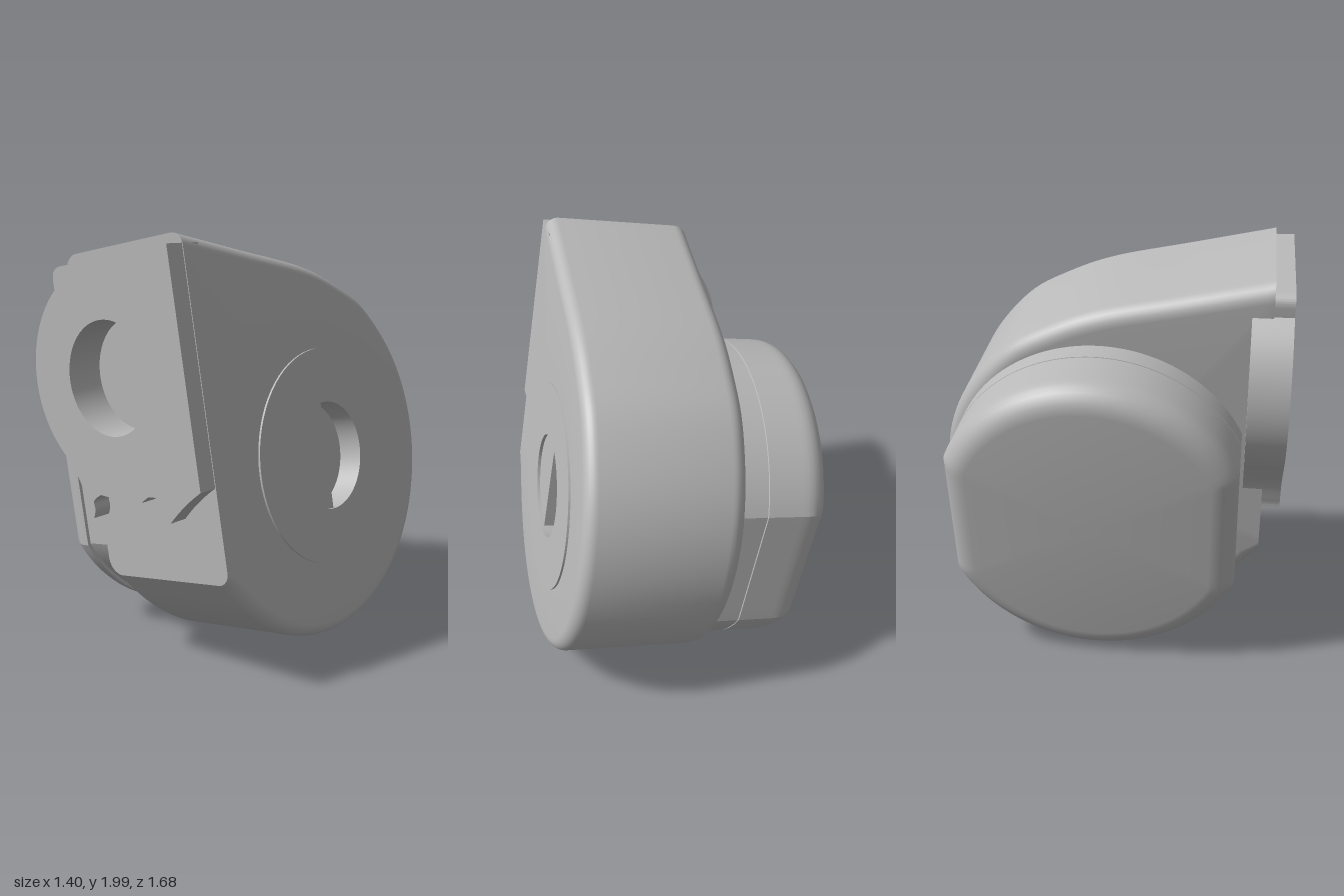
import * as THREE from 'three';
import { toCreasedNormals } from 'three/addons/utils/BufferGeometryUtils.js';

const FRONT = 0.75, CZ = -0.045, CY = 0.837; // body front plane and main axis

// Skin closed rings of points; keep() can leave quads out
function skin(rings, crease, keep = () => true) {
  const n = rings[0].length, index = [];
  for (let i = 0; i < rings.length - 1; i++) {
    for (let j = 0; j < n; j++) {
      const k = (j + 1) % n;
      if (!keep([rings[i][j], rings[i][k], rings[i + 1][j], rings[i + 1][k]])) continue;
      const a = i * n + j, b = i * n + k, c = a + n, d = b + n;
      index.push(a, c, b, b, c, d);
    }
  }
  const geo = new THREE.BufferGeometry().setFromPoints(rings.flat());
  geo.setIndex(index);
  return toCreasedNormals(geo, crease);
}

// Quarter-round steps: [distance from the end face, inset]
function fillet(r, steps = 7) {
  return Array.from({ length: steps + 1 }, (_, i) => {
    const a = (i / steps) * Math.PI / 2;
    return [r * (1 - Math.sin(a)), r * (1 - Math.cos(a))];
  });
}

// Side outline of the body as (z, y), from front top over the back to front bottom
function bodyOutline() {
  const pts = [[0.75, 1.914], [0.35, 1.828], [-0.05, 1.741], [-0.3, 1.645], [-0.5, 1.53]]
    .map(p => new THREE.Vector2(...p));
  for (let a = 145; a <= 315; a += 17) {
    const t = THREE.MathUtils.degToRad(a);
    pts.push(new THREE.Vector2(0.842 * Math.cos(t), 0.84 + 0.84 * Math.sin(t)));
  }
  pts.push(new THREE.Vector2(0.75, 0.425));
  return new THREE.SplineCurve(pts).getSpacedPoints(100);
}

function bodyRing(outline, x, inset) {
  const last = outline.length - 1;
  const ring = outline.map((p, i) => {
    if (i === 0) return new THREE.Vector3(x, p.y - inset, FRONT);
    if (i === last) return new THREE.Vector3(x, p.y + inset, FRONT);
    const t = outline[i + 1].clone().sub(outline[i - 1]).normalize();
    return new THREE.Vector3(x, p.y + t.x * inset, Math.min(FRONT, p.x - t.y * inset));
  });
  for (let i = 0; i <= 14; i++) ring.push(new THREE.Vector3(x, 0.55 + i * 0.088, FRONT));
  return ring;
}

// Shrink a ring onto a circle around the main axis
function toCircle(ring, r) {
  return ring.map(p => {
    const d = new THREE.Vector2(p.z - CZ, p.y - CY).setLength(r);
    return new THREE.Vector3(p.x, CY + d.y, CZ + d.x);
  });
}

// Knob section: a circle with flats front and back, plus a shallow front pocket
function knobRing(x, inset, pocket = 0) {
  const n = 144;
  return Array.from({ length: n }, (_, j) => {
    const a = Math.PI / 2 + (j / n) * Math.PI * 2, t = j / n;
    const y0 = Math.sin(a) * 0.753;
    const d = inset + (t > 0.53 && y0 < 0.08 ? pocket : 0);
    const flat = 0.683 - d, r = Math.max(0.753 - d, 0);
    const z = THREE.MathUtils.clamp(Math.cos(a) * r, -Math.max(flat, 0), Math.max(flat, 0));
    return new THREE.Vector3(x, CY + Math.sin(a) * r, CZ + z);
  });
}

export function createModel() {
  const model = new THREE.Group();
  const housing = new THREE.Group();
  housing.name = 'housing';
  housing.rotation.z = THREE.MathUtils.degToRad(10);
  model.add(housing);

  const grey = new THREE.MeshStandardMaterial({ color: 0xb8b8b8 });
  grey.name = 'light grey';
  const add = (name, geo, x = 0, y = 0, z = 0) => {
    const mesh = new THREE.Mesh(geo, grey);
    mesh.name = name;
    mesh.position.set(x, y, z);
    housing.add(mesh);
    return mesh;
  };

  // Main body with rounded side edges
  const outline = bodyOutline(), left = -0.03, right = 0.716;
  const sections = [
    ...fillet(0.08).reverse().map(([d, s]) => [left + d, s]).reverse().sort((a, b) => a[0] - b[0]),
    ...fillet(0.06).map(([d, s]) => [right - d, s]).sort((a, b) => a[0] - b[0]),
  ];
  const rings = sections.map(([x, s]) => bodyRing(outline, x, s));
  const bodyRings = [toCircle(rings[0], 0.01), ...rings, toCircle(rings.at(-1), 0.505)];
  add('body', skin(bodyRings, 0.5, q => q.some(p => p.z < FRONT - 0.001)));

  // Front face of the body, open where the socket goes in
  const end = outline.length - 1;
  const face = new THREE.Shape([
    ...rings.map(r => new THREE.Vector2(r[end].x, r[end].y)),
    ...rings.map(r => new THREE.Vector2(r[0].x, r[0].y)).reverse(),
  ]);
  const hole = () => new THREE.Path().absarc(0.248, 1.348, 0.257, 0, Math.PI * 2, true);
  face.holes.push(hole());
  add('bodyFront', new THREE.ShapeGeometry(face, 32), 0, 0, FRONT);

  // Front plate with round lug and hooked lower edge
  const plate = new THREE.Shape();
  plate.moveTo(0.712, 1.864);
  plate.lineTo(0.04, 1.864);
  plate.quadraticCurveTo(-0.022, 1.864, -0.024, 1.81);
  plate.lineTo(-0.024, 1.765);
  plate.absarc(0.248, 1.348, 0.498, Math.PI - 0.993, Math.PI + 0.725, false);
  plate.splineThru([[-0.046, 0.892], [-0.017, 0.765], [-0.014, 0.724]].map(p => new THREE.Vector2(...p)));
  plate.lineTo(0.016, 0.719);
  plate.splineThru([[0.032, 0.756], [0.034, 0.8], [0.085, 0.828]].map(p => new THREE.Vector2(...p)));
  plate.lineTo(0.292, 0.791);
  plate.splineThru([[0.345, 0.797], [0.399, 0.823], [0.458, 0.813], [0.489, 0.757], [0.487, 0.716]]
    .map(p => new THREE.Vector2(...p)));
  plate.lineTo(0.512, 0.712);
  plate.quadraticCurveTo(0.6, 0.79, 0.712, 0.848);
  plate.holes.push(hole());
  const plateGeo = new THREE.ExtrudeGeometry(plate, { depth: 0.185, bevelEnabled: false, curveSegments: 32 });
  add('frontPlate', toCreasedNormals(plateGeo, 0.5), 0, 0, 0.655);
  add('socketFloor', new THREE.CircleGeometry(0.26, 48), 0.248, 1.348, 0.66);

  // Side knob with seam groove and pocket
  const P = 0.016;
  const knob = [
    knobRing(-0.457, 0.753),
    ...fillet(0.12).sort((a, b) => a[0] - b[0]).map(([d, s]) => knobRing(-0.457 + d, s)),
    knobRing(-0.311, 0), knobRing(-0.31, 0, P), knobRing(-0.145, 0, P), knobRing(-0.144, 0),
    knobRing(-0.142, 0.006), knobRing(-0.139, 0.006), knobRing(-0.137, 0), knobRing(0.02, 0),
  ];
  add('knob', skin(knob, 0.42));

  // Raised ring on the right side, with its half-open bore
  const ringGeo = new THREE.LatheGeometry(
    [[0.51, -0.01], [0.51, 0.01], [0.255, 0.01], [0.255, -0.12]].map(p => new THREE.Vector2(...p)), 72);
  ringGeo.deleteAttribute('normal');
  ringGeo.deleteAttribute('uv');
  add('sideRing', toCreasedNormals(ringGeo, 0.5), right, CY, CZ).rotation.z = -Math.PI / 2;
  add('boreDeepHalf', new THREE.CircleGeometry(0.256, 36, -Math.PI / 2, Math.PI), right - 0.11, CY, CZ)
    .rotation.y = Math.PI / 2;
  add('boreShallowHalf', new THREE.CircleGeometry(0.256, 36, Math.PI / 2, Math.PI), right - 0.005, CY, CZ)
    .rotation.y = Math.PI / 2;
  add('boreDivider', new THREE.PlaneGeometry(0.105, 0.51), right - 0.0575, CY, CZ).rotation.y = Math.PI;

  return model;
}
